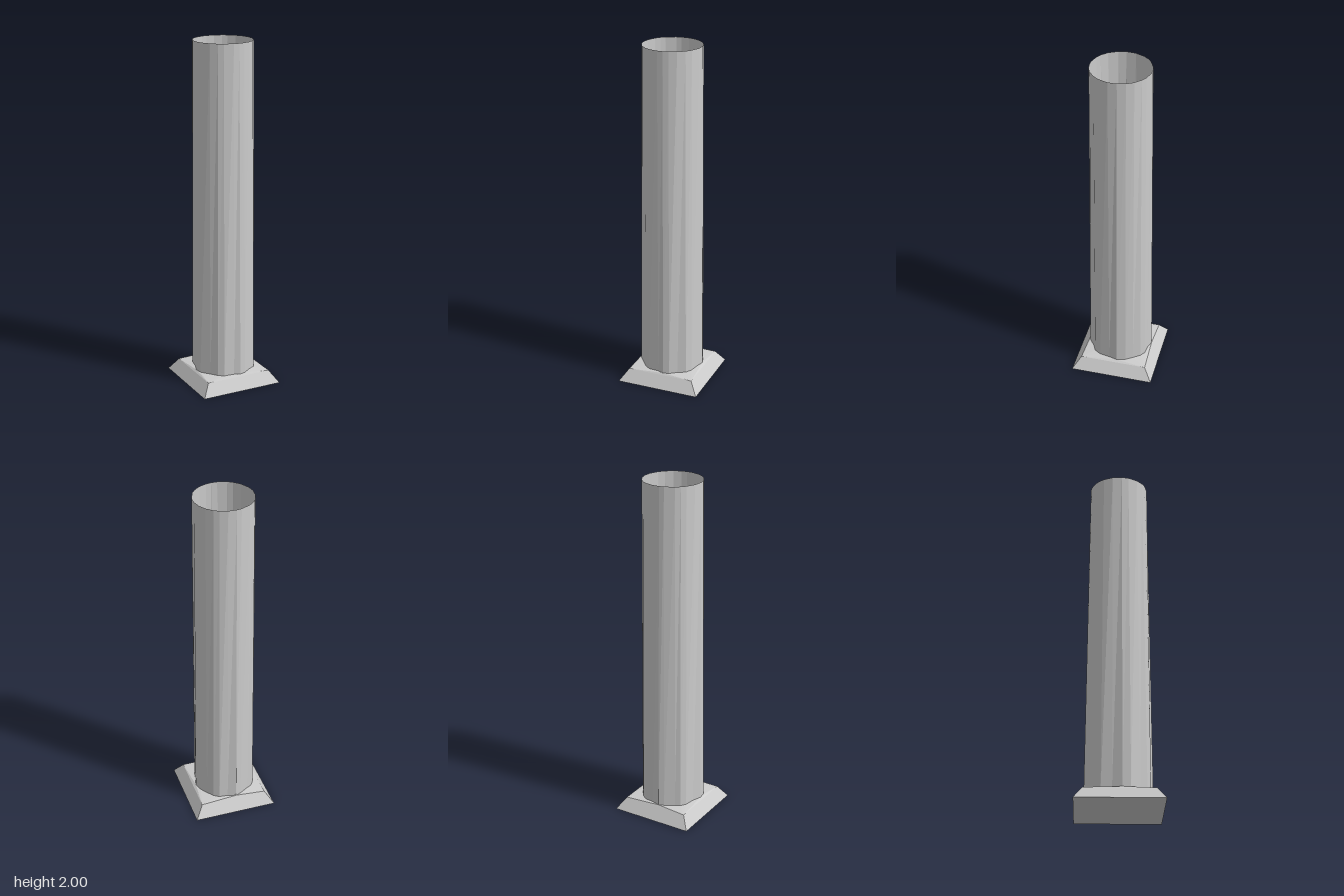
import * as THREE from 'three';

// Lobed foot outline of the shaft, as x, z pairs seen from above (clockwise)
const FOOT = [
  [-0.02, -0.19], [0.03, -0.175], [0.08, -0.17], [0.11, -0.15], [0.14, -0.11], [0.167, -0.07],
  [0.182, -0.02], [0.168, 0.03], [0.157, 0.09], [0.135, 0.127], [0.09, 0.15], [0.05, 0.18],
  [0.015, 0.188], [-0.02, 0.175], [-0.08, 0.17], [-0.11, 0.15], [-0.14, 0.11], [-0.18, 0.06],
  [-0.185, 0.015], [-0.165, -0.04], [-0.155, -0.1], [-0.135, -0.13], [-0.105, -0.145], [-0.05, -0.178],
];
const BASE = 0.245, LEDGE = 0.197, LEDGE_Y = 0.07, FOOT_Y = 0.08, TOP_Y = 2, TOP_R = 0.169;

// Wall of quads between two closed loops of [x, y, z] running clockwise from above
function wall(lower, upper) {
  const pos = [];
  lower.forEach((a, i) => {
    const j = (i + 1) % lower.length;
    const b = lower[j], c = upper[j], d = upper[i];
    pos.push(...a, ...d, ...b, ...b, ...d, ...c);
  });
  const g = new THREE.BufferGeometry();
  g.setAttribute('position', new THREE.Float32BufferAttribute(pos, 3));
  g.computeVertexNormals();
  return g;
}

const square = (s, y) => [[-s, y, -s], [s, y, -s], [s, y, s], [-s, y, s]];

export function createModel() {
  const group = new THREE.Group();
  const material = new THREE.MeshStandardMaterial({
    color: 0xcccccc, flatShading: true, side: THREE.DoubleSide,
  });
  const add = (name, geometry) => {
    const mesh = new THREE.Mesh(geometry, material);
    mesh.name = name;
    group.add(mesh);
  };

  // Hollow shaft, lobed at the foot and round at the open top
  const foot = FOOT.map(([x, z]) => [x, FOOT_Y, z]);
  const rim = FOOT.map(([x, z]) => {
    const k = TOP_R / Math.hypot(x, z);
    return [x * k - 0.002, TOP_Y, z * k];
  });
  add('shaft', wall(foot, rim));

  // Sloping sides of the plinth
  add('plinthSides', wall(square(BASE, 0), square(LEDGE, LEDGE_Y)));

  // Plinth top: a square with the foot cut out, rising slightly to the shaft
  const shape = new THREE.Shape(square(LEDGE, 0).map(([x, , z]) => new THREE.Vector2(x, -z)));
  shape.holes.push(new THREE.Path(FOOT.map(([x, z]) => new THREE.Vector2(x, -z))));
  const ledge = new THREE.ShapeGeometry(shape).rotateX(-Math.PI / 2);
  const p = ledge.attributes.position;
  for (let i = 0; i < p.count; i++) {
    const corner = Math.min(Math.abs(p.getX(i)), Math.abs(p.getZ(i))) > LEDGE - 0.001;
    p.setY(i, corner ? LEDGE_Y : FOOT_Y);
  }
  ledge.computeVertexNormals();
  add('plinthTop', ledge);

  // Underside of the plinth
  add('plinthBottom', new THREE.PlaneGeometry(2 * BASE, 2 * BASE).rotateX(Math.PI / 2));

  return group;
}
